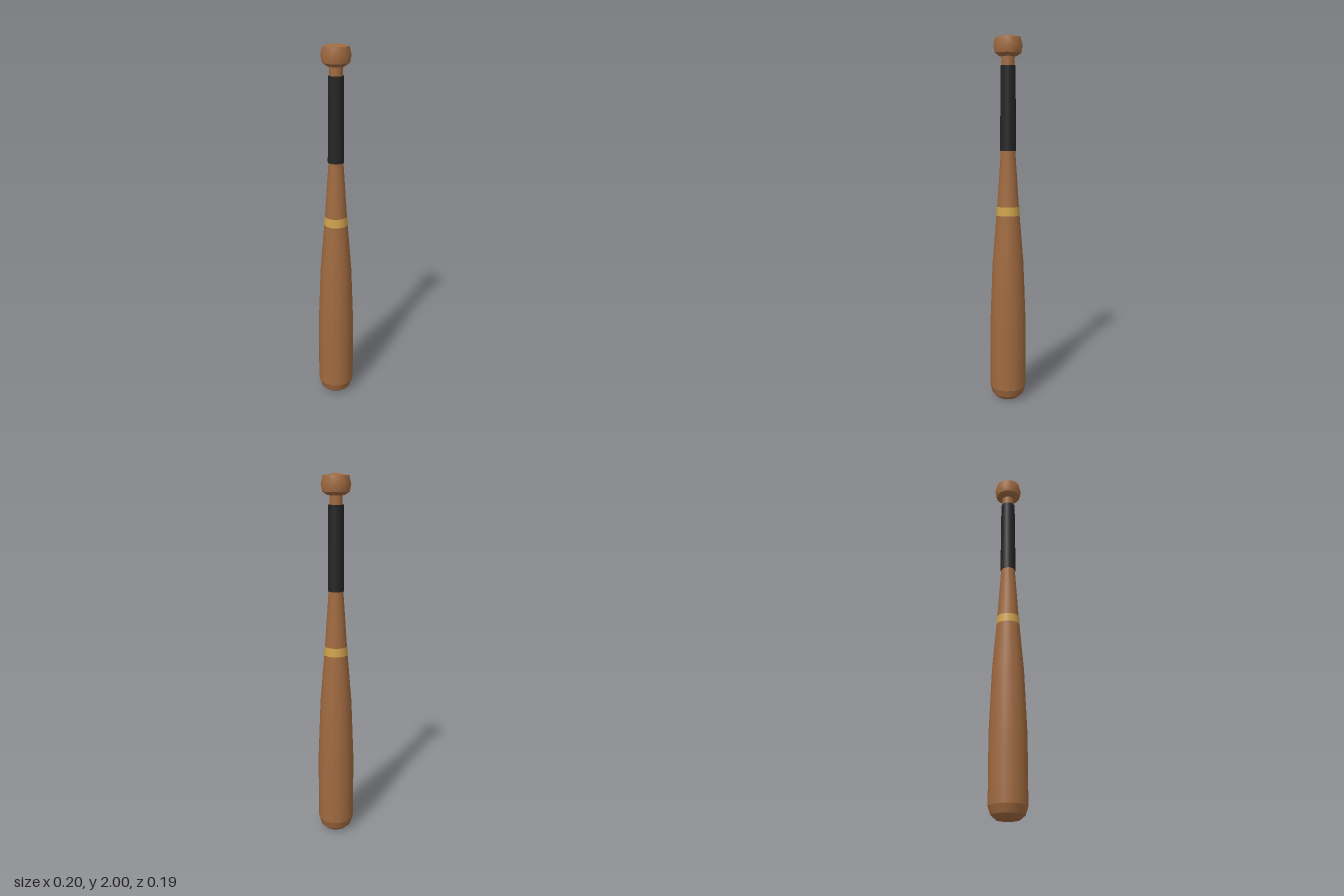
import * as THREE from 'three';

const SIDES = 14;

export function createModel() {
  const mat = (name, color) => {
    const m = new THREE.MeshStandardMaterial({ color });
    m.name = name;
    return m;
  };
  const wood = mat('wood', 0xa06a40);
  const tape = mat('blackTape', 0x242424);
  const gold = mat('goldBand', 0xcda24c);

  const bat = new THREE.Group();
  bat.name = 'bat';

  // Turned piece: [radius, height] pairs, listed from bottom to top.
  // Each piece is smooth inside and has a sharp edge against its neighbours.
  const turn = (parent, name, material, profile) => {
    const points = profile.map(([r, y]) => new THREE.Vector2(r, y));
    const mesh = new THREE.Mesh(new THREE.LatheGeometry(points, SIDES, Math.PI / 2), material);
    mesh.name = name;
    parent.add(mesh);
  };

  // Barrel tapering into the handle
  const barrel = new THREE.Group();
  barrel.name = 'barrel';
  bat.add(barrel);
  turn(barrel, 'barrelEnd', wood, [[0, 0], [0.06, 0]]);
  turn(barrel, 'barrelEndBevel', wood, [[0.06, 0], [0.086, 0.022]]);
  turn(barrel, 'barrelShoulder', wood, [[0.086, 0.022], [0.1, 0.065]]);
  turn(barrel, 'barrelBody', wood, [
    [0.1, 0.065], [0.1, 0.43], [0.086, 0.78], [0.06, 1.09], [0.039, 1.4], [0.034, 1.6], [0.034, 1.9],
  ]);

  // Painted ring around the taper
  turn(bat, 'goldRing', gold, [[0.0655, 1.045], [0.062, 1.093]]);

  // Wrapped grip with closed ends
  const grip = new THREE.Group();
  grip.name = 'grip';
  bat.add(grip);
  turn(grip, 'gripLowerEnd', tape, [[0.03, 1.395], [0.0435, 1.395]]);
  turn(grip, 'gripWrap', tape, [[0.0435, 1.395], [0.04, 1.843]]);
  turn(grip, 'gripUpperEnd', tape, [[0.04, 1.843], [0.03, 1.843]]);

  // Knob at the end of the handle
  const knob = new THREE.Group();
  knob.name = 'knob';
  bat.add(knob);
  turn(knob, 'knobUnderside', wood, [[0.033, 1.89], [0.045, 1.89], [0.07, 1.907]]);
  turn(knob, 'knobSide', wood, [[0.07, 1.907], [0.078, 1.945], [0.067, 1.988]]);
  turn(knob, 'knobTop', wood, [[0.067, 1.988], [0, 2]]);

  return bat;
}
